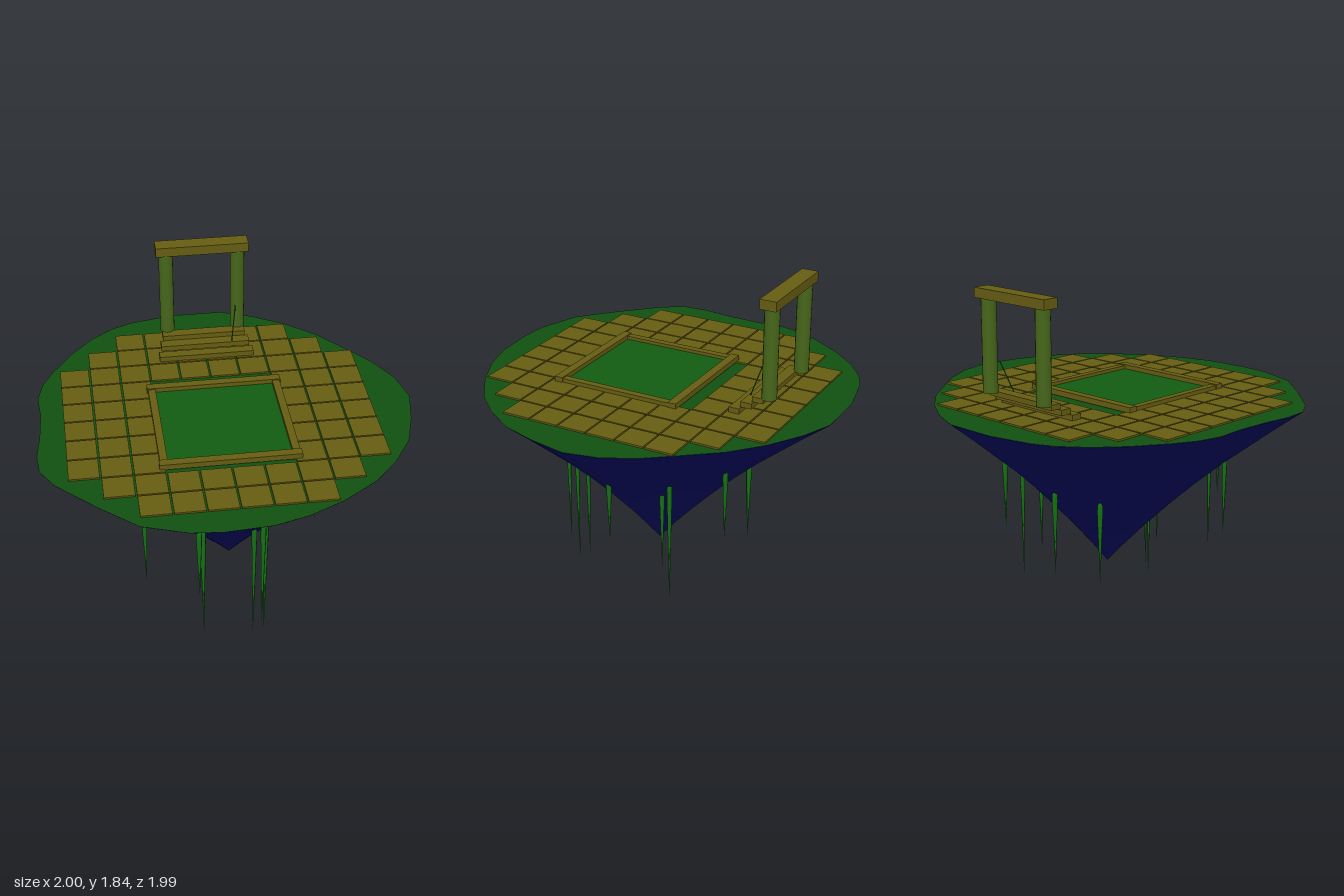
import * as THREE from 'three';

const mat = (color, flatShading = false) =>
  new THREE.MeshStandardMaterial({ color, flatShading, side: THREE.DoubleSide });

// Island outline, [x, z] around the rim
const RIM = [
  [-0.18, -1], [0.11, -1], [0.28, -0.93], [0.46, -0.82], [0.62, -0.68], [0.77, -0.49],
  [0.87, -0.36], [0.96, -0.19], [1, 0], [0.96, 0.2], [0.9, 0.39], [0.79, 0.56],
  [0.66, 0.7], [0.47, 0.83], [0.28, 0.92], [0.1, 0.97], [-0.14, 0.985], [-0.3, 0.97],
  [-0.53, 0.89], [-0.72, 0.72], [-0.92, 0.52], [-0.99, 0.4], [-1, 0.27], [-0.98, 0.11],
  [-0.97, -0.08], [-0.98, -0.24], [-0.95, -0.37], [-0.89, -0.49], [-0.78, -0.66],
  [-0.66, -0.8], [-0.53, -0.9], [-0.42, -0.95],
];

// Underside taper, [scale of the rim, height]
const TAPER = [[1, 1.205], [0.87, 1.1], [0.74, 0.99], [0.61, 0.88], [0.47, 0.75],
  [0.34, 0.62], [0.2, 0.47], [0.09, 0.345], [0, 0.235]];

// Hanging roots, [x, z, top, bottom]
const ROOTS = [
  [-0.48, 0.41, 0.89, 0.42], [-0.3, -0.37, 0.74, 0.3], [-0.225, 0.665, 0.95, 0.52],
  [-0.2, 0.62, 0.91, 0.2], [0.095, 0.435, 0.76, 0], [0.125, 0.54, 0.85, 0.15],
  [0.15, 0.47, 0.8, 0.05], [0.27, -0.51, 0.91, 0.5], [0.345, -0.18, 0.76, 0.27],
  [0.41, -0.26, 0.84, 0.12], [0.5, 0.05, 0.82, 0.45], [-0.08, -0.48, 0.78, 0.33],
];

function rockGeometry() {
  const pos = [], index = [], n = RIM.length;
  for (const [s, y] of TAPER) {
    for (const [x, z] of RIM) pos.push(x * s + 0.02 * (1 - s), y, z * s + 0.015 * (1 - s));
  }
  for (let r = 0; r < TAPER.length - 1; r++) {
    for (let i = 0; i < n; i++) {
      const a = r * n + i, b = r * n + (i + 1) % n;
      index.push(a, b, a + n);
      if (r < TAPER.length - 2) index.push(b, b + n, a + n);
    }
  }
  const g = new THREE.BufferGeometry();
  g.setAttribute('position', new THREE.Float32BufferAttribute(pos, 3));
  g.setIndex(index);
  g.computeVertexNormals();
  return g;
}

export function createModel() {
  const model = new THREE.Group();
  const stone = mat(0x665c12), pillarStone = mat(0x46661a);
  const grass = mat(0x115011), pond = mat(0x125c12), rock = mat(0x0c0c66), root = mat(0x157015);

  const add = (name, geometry, material, parent = model) => {
    const mesh = new THREE.Mesh(geometry, material);
    mesh.name = name;
    parent.add(mesh);
    return mesh;
  };
  const group = (name) => {
    const g = new THREE.Group();
    g.name = name;
    model.add(g);
    return g;
  };
  // Box given by its extents on each axis
  const box = (name, x0, x1, y0, y1, z0, z1, material, parent) => {
    const m = add(name, new THREE.BoxGeometry(x1 - x0, y1 - y0, z1 - z0), material, parent);
    m.position.set((x0 + x1) / 2, (y0 + y1) / 2, (z0 + z1) / 2);
    return m;
  };

  // Floating island
  add('rockUnderside', rockGeometry(), rock);
  const outline = new THREE.Shape(RIM.map(([x, z]) => new THREE.Vector2(x, -z)));
  add('grassTop', new THREE.ShapeGeometry(outline).rotateX(-Math.PI / 2), grass).position.y = 1.206;

  // Paving with cut corners and an open court in the middle
  const paving = group('paving');
  const pitch = 0.1637, size = 0.155;
  for (let row = 0; row < 10; row++) {
    const edge = Math.min(row, 9 - row);
    const inset = Math.max(0, 2 - edge);
    for (let col = inset; col < 10 - inset; col++) {
      if (col >= 3 && col <= 6 && row >= 3 && row <= 7) continue;
      const x = -0.85 + col * pitch, z = -0.805 + row * pitch;
      box('pavingTile', x, x + size, 1.2, 1.215, z, z + size, stone, paving);
    }
  }

  // Sunken square with a raised kerb
  const court = group('court');
  box('courtFloor', -0.35, 0.295, 1.2, 1.218, -0.21, 0.44, pond, court);
  for (const z of [-0.25, 0.43]) box('kerbCross', -0.395, 0.33, 1.212, 1.242, z, z + 0.047, stone, court);
  for (const x of [-0.39, 0.285]) box('kerbSide', x, x + 0.04, 1.212, 1.236, -0.21, 0.44, stone, court);

  // Steps up to the gate
  const steps = group('steps');
  box('lowerStep', -0.295, 0.23, 1.212, 1.244, -0.557, -0.5, stone, steps);
  box('middleStep', -0.28, 0.213, 1.248, 1.278, -0.617, -0.555, stone, steps);
  box('upperStep', -0.265, 0.195, 1.282, 1.31, -0.672, -0.61, stone, steps);

  // Gate: two round pillars and a lintel
  const gate = group('gate');
  for (const x of [-0.232, 0.162]) {
    add('pillar', new THREE.CylinderGeometry(0.039, 0.039, 0.49, 16), pillarStone, gate)
      .position.set(x, 1.55, -0.69);
  }
  box('lintel', -0.288, 0.218, 1.79, 1.842, -0.735, -0.645, stone, gate);

  // Thin staff leaning over the steps
  const foot = new THREE.Vector3(0.115, 1.275, -0.565), tip = new THREE.Vector3(0.145, 1.462, -0.64);
  add('staff', new THREE.TubeGeometry(new THREE.LineCurve3(foot, tip), 1, 0.003, 5), root);

  // Roots hanging under the island
  const roots = group('hangingRoots');
  for (const [x, z, top, bottom] of ROOTS) {
    const h = top - bottom;
    const profile = [[0, 0], [0.004, h * 0.2], [0.015, h - 0.05], [0.014, h - 0.015], [0.008, h], [0, h]];
    add('root', new THREE.LatheGeometry(profile.map(p => new THREE.Vector2(...p)), 8), root, roots)
      .position.set(x, bottom, z);
  }
  return model;
}
